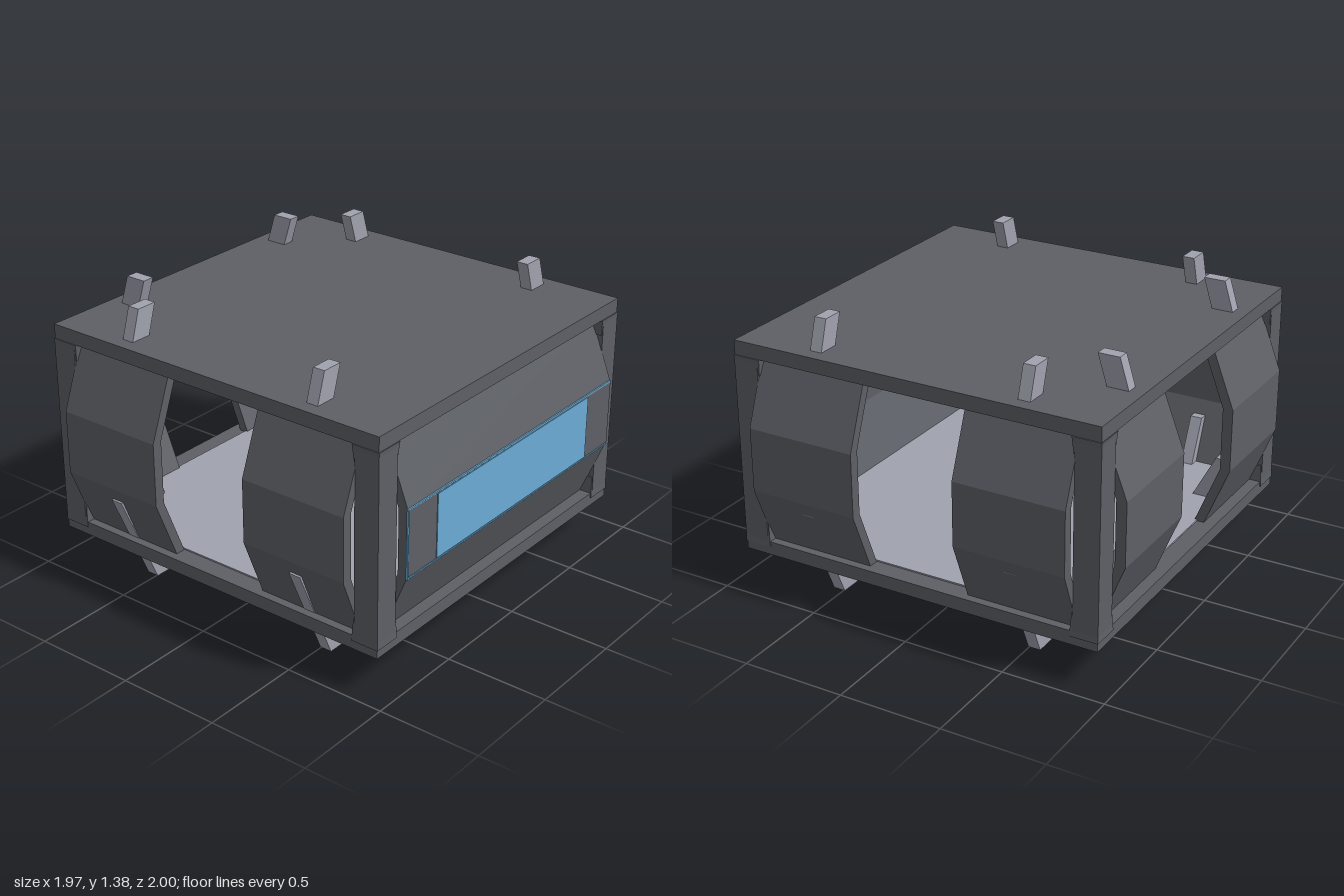
import * as THREE from 'three';

export function createModel() {
  const model = new THREE.Group();
  const mat = (name, color) => {
    const m = new THREE.MeshStandardMaterial({ color });
    m.name = name;
    return m;
  };
  const hull = mat('dark grey hull', 0x5d6066);
  const light = mat('light grey', 0xa0a2ae);
  const glass = mat('blue glass', 0x6aabd5);

  const add = (parent, name, geo, material, x = 0, y = 0, z = 0) => {
    const mesh = new THREE.Mesh(geo, material);
    mesh.name = name;
    mesh.position.set(x, y, z);
    parent.add(mesh);
    return mesh;
  };
  const box = (w, h, d) => new THREE.BoxGeometry(w, h, d);

  // Bulging wall section: local +x is outward, width runs along z
  const wall = (out, width) => {
    const t = 0.05, i = out - 0.12;
    const shape = new THREE.Shape([
      [i, 0.25], [out, 0.55], [out, 0.86], [i, 1.17],
      [i - t, 1.17], [out - t, 0.86], [out - t, 0.55], [i - t, 0.25],
    ].map(([x, y]) => new THREE.Vector2(x, y)));
    return new THREE.ExtrudeGeometry(shape, { depth: width, bevelEnabled: false })
      .translate(0, 0, -width / 2);
  };

  // Leaning strut with level ends; "at" is its centre at height yRef
  const strut = (y0, y1, yRef, at, slope) => {
    const geo = box(0.105, y1 - y0, 0.06).translate(0, (y0 + y1) / 2, 0);
    const p = geo.attributes.position;
    for (let i = 0; i < p.count; i++) {
      p.setX(i, p.getX(i) + at + slope * (p.getY(i) - yRef));
    }
    geo.computeVertexNormals();
    return geo;
  };

  // Floor and roof slabs
  add(model, 'floorSlab', box(1.845, 0.067, 1.845), hull, 0, 0.2215, 0);
  add(model, 'roofSlab', box(1.845, 0.07, 1.845), hull, 0, 1.2, 0);
  add(model, 'interiorFloor', box(1.66, 0.008, 1.66), light, 0, 0.258, 0);
  add(model, 'ceilingLamp', box(0.42, 0.022, 0.42), light, 0, 1.155, 0);

  // Corner pillars, slightly flared at both ends
  for (const sx of [-1, 1]) {
    for (const sz of [-1, 1]) {
      const pillar = new THREE.Group();
      pillar.name = 'cornerPillar';
      add(pillar, 'pillarShaft', box(0.125, 0.92, 0.125), hull, sx * 0.8625, 0.705, sz * 0.8625);
      for (const [y, dir] of [[0.285, 1], [1.125, -1]]) {
        const geo = box(0.14, dir > 0 ? 0.11 : 0.08, 0.14);
        const p = geo.attributes.position;
        for (let i = 0; i < p.count; i++) {
          if (p.getY(i) * dir > 0) {
            p.setX(i, p.getX(i) * 0.9);
            p.setZ(i, p.getZ(i) * 0.9);
          }
        }
        geo.computeVertexNormals();
        add(pillar, 'pillarFlare', geo, hull, sx * 0.857, y, sz * 0.857);
      }
      model.add(pillar);
    }
  }

  // Three open sides: two wall panels, two feet and two roof struts each
  const sides = [
    { name: 'frontSide', turn: -Math.PI / 2, out: 1, foot: 0.804, slope: 0.44 },
    { name: 'backSide', turn: Math.PI / 2, out: 1, foot: 0.792, slope: 0.44 },
    { name: 'rightSide', turn: Math.PI, out: 0.983, foot: 0.71, slope: 0.52 },
  ];
  for (const { name, turn, out, foot, slope } of sides) {
    const side = new THREE.Group();
    side.name = name;
    side.rotation.y = turn;
    for (const s of [-1, 1]) {
      add(side, 'wallPanel', wall(out, 0.545), hull, 0, 0, s * 0.53);
      add(side, 'foot', strut(0, 0.48, 0.19, foot, slope), light, 0, 0, s * 0.525);
      add(side, 'roofStrut', strut(1.19, 1.38, 1.235, 0.803, -0.31), light, 0, 0, s * 0.525);
    }
    model.add(side);
  }

  // Closed side with a long window and a thin glowing outline
  const windowSide = new THREE.Group();
  windowSide.name = 'windowSide';
  add(windowSide, 'fullWall', wall(0.98, 1.6), hull, 0, 0, -0.005);
  add(windowSide, 'window', box(0.006, 0.31, 1.19), glass, 0.981, 0.705, -0.005);
  add(windowSide, 'windowTrimTop', box(0.009, 0.008, 1.6), glass, 0.978, 0.868, -0.003);
  add(windowSide, 'windowTrimBottom', box(0.009, 0.006, 1.6), glass, 0.978, 0.541, -0.003);
  add(windowSide, 'windowTrimEnd', box(0.009, 0.335, 0.008), glass, 0.979, 0.704, 0.796);
  model.add(windowSide);

  return model;
}
